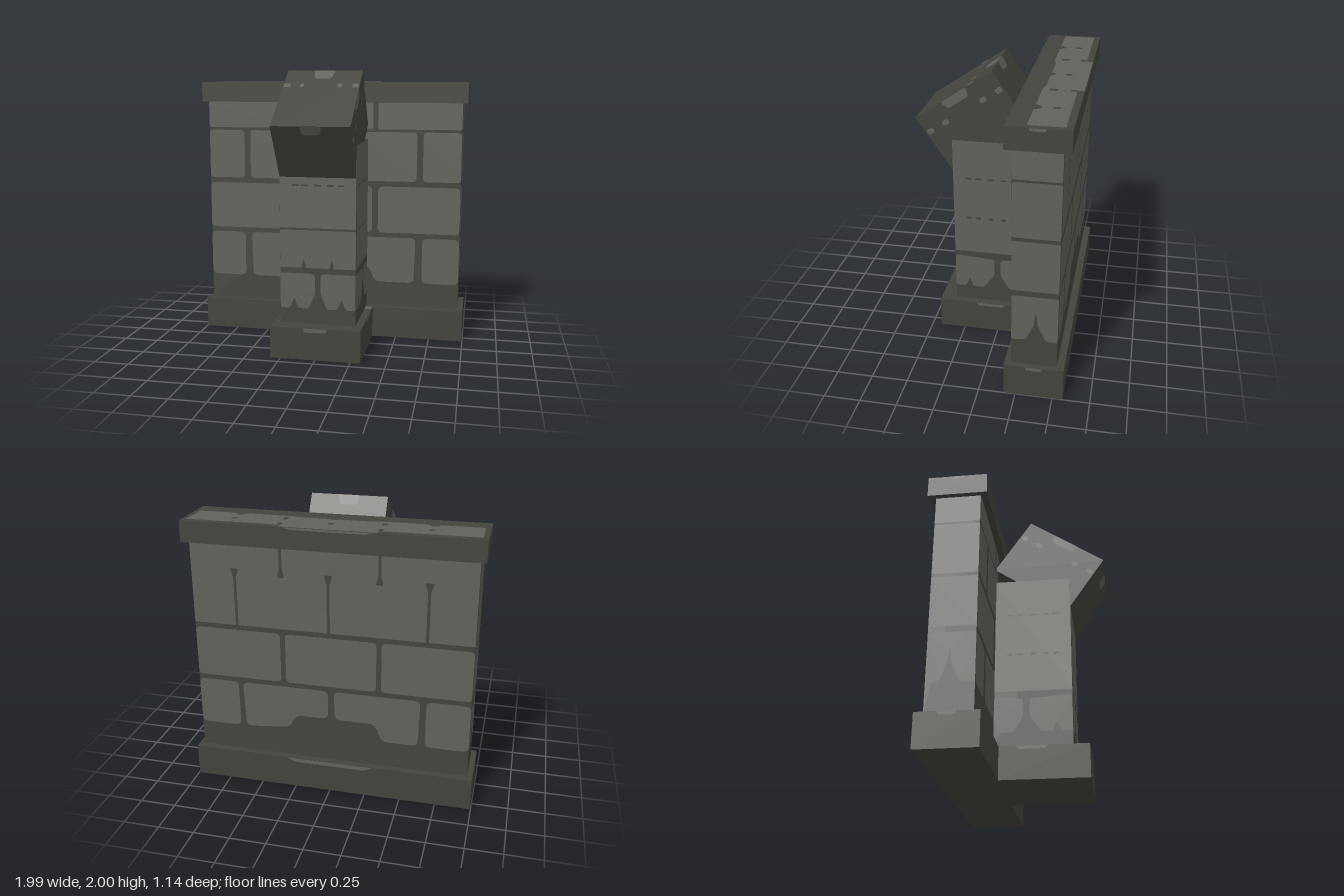
import * as THREE from 'three';

const mat = (name, color) => Object.assign(new THREE.MeshStandardMaterial({ color }), { name });

// Polygon with rounded corners
function roundedShape(pts, r) {
  const s = new THREE.Shape();
  const P = pts.map(p => new THREE.Vector2(p[0], p[1]));
  P.forEach((p, i) => {
    const a = P[(i + P.length - 1) % P.length], b = P[(i + 1) % P.length];
    const toward = q => p.clone().lerp(q, Math.min(0.45, r / p.distanceTo(q)));
    const p0 = toward(a), p1 = toward(b);
    if (i === 0) s.moveTo(p0.x, p0.y); else s.lineTo(p0.x, p0.y);
    s.quadraticCurveTo(p.x, p.y, p1.x, p1.y);
  });
  s.closePath();
  return s;
}

const rect = (u0, u1, v0, v1) => [[u0, v0], [u1, v0], [u1, v1], [u0, v1]];
// Worn patch: wide on the edge line v0, narrower at v1
const worn = (c, w, v0, v1) => [[c - w, v0], [c + w, v0], [c + w * 0.8, v1], [c - w * 0.8, v1]];
const flipV = pts => pts.map(([u, v]) => [u, -v]);

export function createModel() {
  const stone = mat('light stone', 0x60625b);
  const mortar = mat('dark stone', 0x43443c);
  const model = new THREE.Group();
  model.name = 'wallWithPillar';

  const box = (name, parent, x, y0, y1, z0, z1) => {
    const m = new THREE.Mesh(new THREE.BoxGeometry(2 * x, y1 - y0, z1 - z0), mortar);
    m.position.set(0, (y0 + y1) / 2, (z0 + z1) / 2);
    m.name = name;
    parent.add(m);
  };

  // Thin painted plates; points are (x,y), (z,y) or (x,z) depending on the face
  const plate = (name, parent, material, pts, r) => {
    const m = new THREE.Mesh(new THREE.ShapeGeometry(roundedShape(pts, r), 3), material);
    m.name = name;
    parent.add(m);
    return m;
  };
  const lift = m => (m === mortar ? 0.004 : 0.002);
  const front = (name, g, m, d, pts, r = 0.01) => {
    plate(name, g, m, pts, r).position.z = d + lift(m);
  };
  const back = (name, g, m, d, pts, r = 0.01) => {
    const p = plate(name, g, m, pts.map(([x, y]) => [-x, y]), r);
    p.rotation.y = Math.PI;
    p.position.z = d - lift(m);
  };
  const top = (name, g, m, d, pts, r = 0.01) => {
    const p = plate(name, g, m, flipV(pts), r);
    p.rotation.x = -Math.PI / 2;
    p.position.y = d + lift(m);
  };
  const sides = (name, g, m, d, pts, r = 0.01) => {
    for (const s of [1, -1]) {
      const p = plate(name, g, m, pts.map(([z, y]) => [-s * z, y]), r);
      p.rotation.y = s * Math.PI / 2;
      p.position.x = s * (d + lift(m));
    }
  };

  // Solid blocks
  box('wallBase', model, 0.995, 0, 0.23, -0.57, -0.17);
  box('pillarBase', model, 0.322, 0, 0.23, -0.172, 0.43);
  box('wall', model, 0.958, 0.23, 1.77, -0.52, -0.215);
  box('wallCap', model, 0.995, 1.77, 1.915, -0.57, -0.17);
  box('pillar', model, 0.27, 0.23, 1.5, -0.215, 0.32);

  // Wall front stones, both halves
  for (const s of [1, -1]) {
    const put = (pts, r) => front('wallFrontStone', model, stone, -0.215, pts.map(([x, y]) => [s * x, y]), r);
    put(rect(0.345, 0.957, 1.575, 1.769), 0.015);
    put(rect(0.2, 0.31, 1.575, 1.769), 0.015);
    put(rect(0.2, 0.635, 1.19, 1.555), 0.03);
    put(rect(0.68, 0.957, 1.19, 1.555), 0.03);
    put(rect(0.35, 0.957, 0.8, 1.15), 0.035);
    put(rect(0.2, 0.305, 0.8, 1.15), 0.03);
    put([[0.33, 0.42], [0.625, 0.42], [0.635, 0.765], [0.2, 0.765], [0.2, 0.55], [0.29, 0.53]], 0.04);
    put(rect(0.685, 0.957, 0.42, 0.765), 0.04);
  }

  // Wall back stones
  const B = (m, pts, r) => back('wallBackStone', model, m, -0.52, pts, r);
  B(stone, rect(-0.957, 0.957, 1.195, 1.769), 0.01);
  for (const [a, b] of [[-0.957, -0.35], [-0.315, 0.315], [0.35, 0.957]]) B(stone, rect(a, b, 0.8, 1.16), 0.03);
  B(stone, rect(-0.957, -0.66, 0.42, 0.765), 0.04);
  B(stone, [[-0.61, 0.42], [-0.36, 0.42], [-0.31, 0.55], [-0.03, 0.55], [-0.02, 0.765], [-0.62, 0.765]], 0.04);
  B(stone, [[0.02, 0.55], [0.25, 0.55], [0.3, 0.45], [0.62, 0.42], [0.635, 0.765], [0.02, 0.765]], 0.04);
  B(stone, rect(0.665, 0.957, 0.42, 0.765), 0.04);
  for (const x of [-0.65, 0.01, 0.65]) {
    B(mortar, [[x - 0.01, 1.19], [x + 0.01, 1.19], [x + 0.01, 1.54], [x + 0.03, 1.6], [x - 0.03, 1.6], [x - 0.01, 1.54]]);
  }
  for (const x of [-0.33, 0.33]) {
    B(mortar, [[x - 0.025, 1.56], [x + 0.025, 1.56], [x + 0.01, 1.62], [x + 0.01, 1.769], [x - 0.01, 1.769], [x - 0.01, 1.62]]);
  }

  // Wall end stones
  const E = (pts, r = 0.015) => sides('wallEndStone', model, stone, 0.958, pts, r);
  E(rect(-0.519, -0.216, 1.57, 1.769));
  E(rect(-0.519, -0.216, 1.18, 1.555));
  E(rect(-0.519, -0.216, 0.8, 1.155));
  E([[-0.519, 0.42], [-0.44, 0.43], [-0.39, 0.54], [-0.375, 0.65], [-0.36, 0.54], [-0.31, 0.43],
    [-0.216, 0.42], [-0.216, 0.76], [-0.519, 0.76]]);

  // Pillar stones
  const F = (m, pts, r) => front('pillarFrontStone', model, m, 0.32, pts, r);
  const S = (m, pts, r) => sides('pillarSideStone', model, m, 0.27, pts, r);
  F(stone, rect(-0.269, 0.269, 0.92, 1.499), 0.004);
  F(stone, rect(-0.269, 0.269, 0.635, 0.905), 0.01);
  S(stone, rect(-0.214, 0.319, 0.635, 1.499), 0.004);
  const half = [[0.269, 0.34], [0.2, 0.34], [0.17, 0.42], [0.14, 0.34], [0.065, 0.34], [0.02, 0.45], [0.02, 0.58], [0.04, 0.595], [0.269, 0.595]];
  for (const s of [1, -1]) F(stone, half.map(([x, y]) => [s * x, y]), 0.02);
  S(stone, [[0.319, 0.34], [0.24, 0.34], [0.215, 0.42], [0.19, 0.34], [0.11, 0.34], [0.03, 0.45], [0.03, 0.58], [0.319, 0.6]], 0.02);
  S(stone, [[-0.214, 0.42], [-0.18, 0.34], [-0.08, 0.34], [-0.015, 0.45], [-0.015, 0.58], [-0.214, 0.595]], 0.02);
  // Broken joint lines
  for (const c of [-0.16, -0.09, 0, 0.09, 0.16]) {
    F(mortar, rect(c - 0.025, c + 0.025, 1.215, 1.227), 0.004);
    S(mortar, rect(c + 0.03, c + 0.075, 1.213, 1.225), 0.004);
    S(mortar, rect(c + 0.035, c + 0.07, 0.902, 0.92), 0.006);
  }
  for (const c of [-0.1, 0.1]) F(mortar, [[c - 0.02, 0.63], [c, 0.7], [c + 0.02, 0.63]], 0.004);

  // Cap: weathered top and worn edges
  top('capTopWear', model, stone, 1.915, [[-0.96, -0.525], [-0.32, -0.525], [-0.32, -0.569], [0.32, -0.569],
    [0.32, -0.525], [0.96, -0.525], [0.96, -0.3], [0.3, -0.3], [0.25, -0.315], [-0.25, -0.315], [-0.3, -0.3], [-0.96, -0.3]], 0.01);
  for (const x of [-0.64, 0.01, 0.66]) {
    top('capPit', model, mortar, 1.915, rect(x - 0.018, x + 0.018, -0.46, -0.415), 0.015);
    top('capNotch', model, mortar, 1.915, [[x - 0.05, -0.298], [x + 0.05, -0.298], [x + 0.015, -0.345], [x - 0.015, -0.345]], 0.015);
  }
  for (const x of [-0.33, 0.33]) {
    top('capPit', model, mortar, 1.915, rect(x - 0.02, x + 0.02, -0.4, -0.345), 0.015);
    top('capPit', model, mortar, 1.915, rect(x - 0.016, x + 0.016, -0.525, -0.48), 0.008);
  }
  sides('capEdgeWear', model, stone, 0.995, worn(-0.37, 0.055, 1.914, 1.895));
  back('capEdgeWear', model, stone, -0.57, worn(0, 0.3, 1.914, 1.9));

  // Base worn edges
  front('baseEdgeWear', model, stone, 0.43, worn(0, 0.09, 0.229, 0.2));
  sides('baseEdgeWear', model, stone, 0.322, worn(0.05, 0.11, 0.229, 0.205));
  sides('baseEdgeWear', model, stone, 0.995, worn(-0.37, 0.06, 0.229, 0.205));
  back('baseEdgeWear', model, stone, -0.57, worn(0, 0.31, 0.229, 0.2));
  for (const s of [1, -1]) {
    const a = s * 0.272, b = s * 0.32;
    top('baseLedgeWear', model, stone, 0.23, rect(a, b, -0.169, -0.1), 0.004);
  }

  // Tilted block resting on the pillar
  const block = new THREE.Group();
  block.name = 'tiltedBlock';
  block.position.set(0, 1.625, 0.172);
  block.rotation.x = 0.597;
  model.add(block);
  const h = 0.236, l = 0.32;
  box('blockBody', block, 0.268, -h, h, -l, l);
  top('blockTopWear', block, stone, h, worn(0, 0.075, -l, -0.22), 0.02);
  for (const [x, w] of [[-0.24, 0.025], [-0.135, 0.012], [0.13, 0.016], [0.24, 0.022]]) {
    top('blockTopSpot', block, stone, h, rect(x - w, x + w, -0.16, -0.115), 0.012);
  }
  front('blockFrontWear', block, stone, l, worn(0, 0.075, h, 0.165), 0.02);
  back('blockBackWear', block, stone, -l, worn(0, 0.075, h, 0.165), 0.02);
  sides('blockSideWear', block, stone, 0.268, worn(0, 0.105, h, 0.175), 0.015);
  for (const z of [-0.285, -0.157, 0.157, 0.285]) {
    sides('blockSideSpot', block, stone, 0.268, rect(z - 0.025, z + 0.025, 0.085, 0.122), 0.015);
  }
  return model;
}
